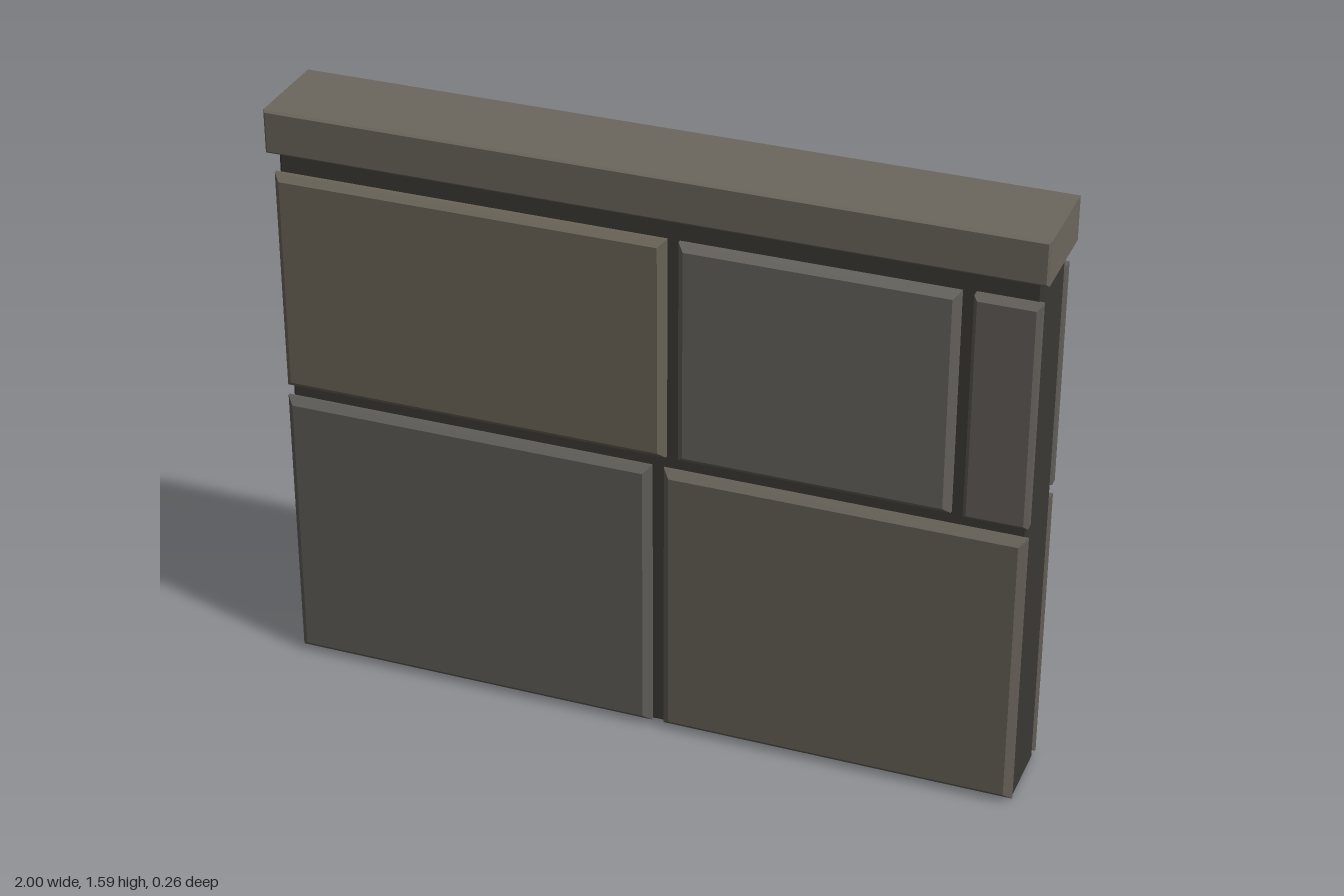
import * as THREE from 'three';

// Box with flat chamfered edges, centred on the origin
function chamferBox(w, h, d, c) {
  const x = w / 2 - c, y = h / 2 - c;
  const shape = new THREE.Shape();
  shape.moveTo(-x, -y);
  shape.lineTo(x, -y);
  shape.lineTo(x, y);
  shape.lineTo(-x, y);
  shape.closePath();
  const geometry = new THREE.ExtrudeGeometry(shape, {
    depth: d - 2 * c, bevelEnabled: true, bevelThickness: c, bevelSize: c, bevelSegments: 1,
  });
  return geometry.translate(0, 0, c - d / 2);
}

export function createModel() {
  const wall = new THREE.Group();
  wall.name = 'stoneWall';

  // Add a chamfered block spanning the given ranges
  function addBlock(name, [x0, x1], [y0, y1], [z0, z1], chamfer, color) {
    const mesh = new THREE.Mesh(
      chamferBox(x1 - x0, y1 - y0, z1 - z0, chamfer),
      new THREE.MeshStandardMaterial({ color, flatShading: true }),
    );
    mesh.name = name;
    mesh.position.set((x0 + x1) / 2, (y0 + y1) / 2, (z0 + z1) / 2);
    wall.add(mesh);
  }

  // Dark mortar core and the overhanging coping
  addBlock('mortarCore', [-0.98, 0.98], [0, 1.49], [-0.1, 0.1], 0.008, 0x3b3935);
  addBlock('coping', [-1, 1], [1.475, 1.592], [-0.132, 0.132], 0.006, 0x6c675d);

  // Two courses of facing stones: x range, chamfer, colour
  const courses = [
    { name: 'lowerStone', y: [0.008, 0.78], stones: [
      [-0.987, 0.016, 0.019, 0x605e59],
      [0.048, 0.985, 0.019, 0x656057],
    ] },
    { name: 'upperStone', y: [0.812, 1.418], stones: [
      [-0.985, 0.054, 0.017, 0x6b6558],
      [0.086, 0.79, 0.017, 0x66635d],
      [0.822, 0.985, 0.01, 0x625e58],
    ] },
  ];

  // The same stones face the front and the back
  for (const [face, z] of [['Front', [0.088, 0.132]], ['Back', [-0.132, -0.088]]]) {
    for (const { name, y, stones } of courses) {
      stones.forEach(([x0, x1, chamfer, color], i) =>
        addBlock(`${name}${face}${i + 1}`, [x0, x1], y, z, chamfer, color));
    }
  }
  return wall;
}
